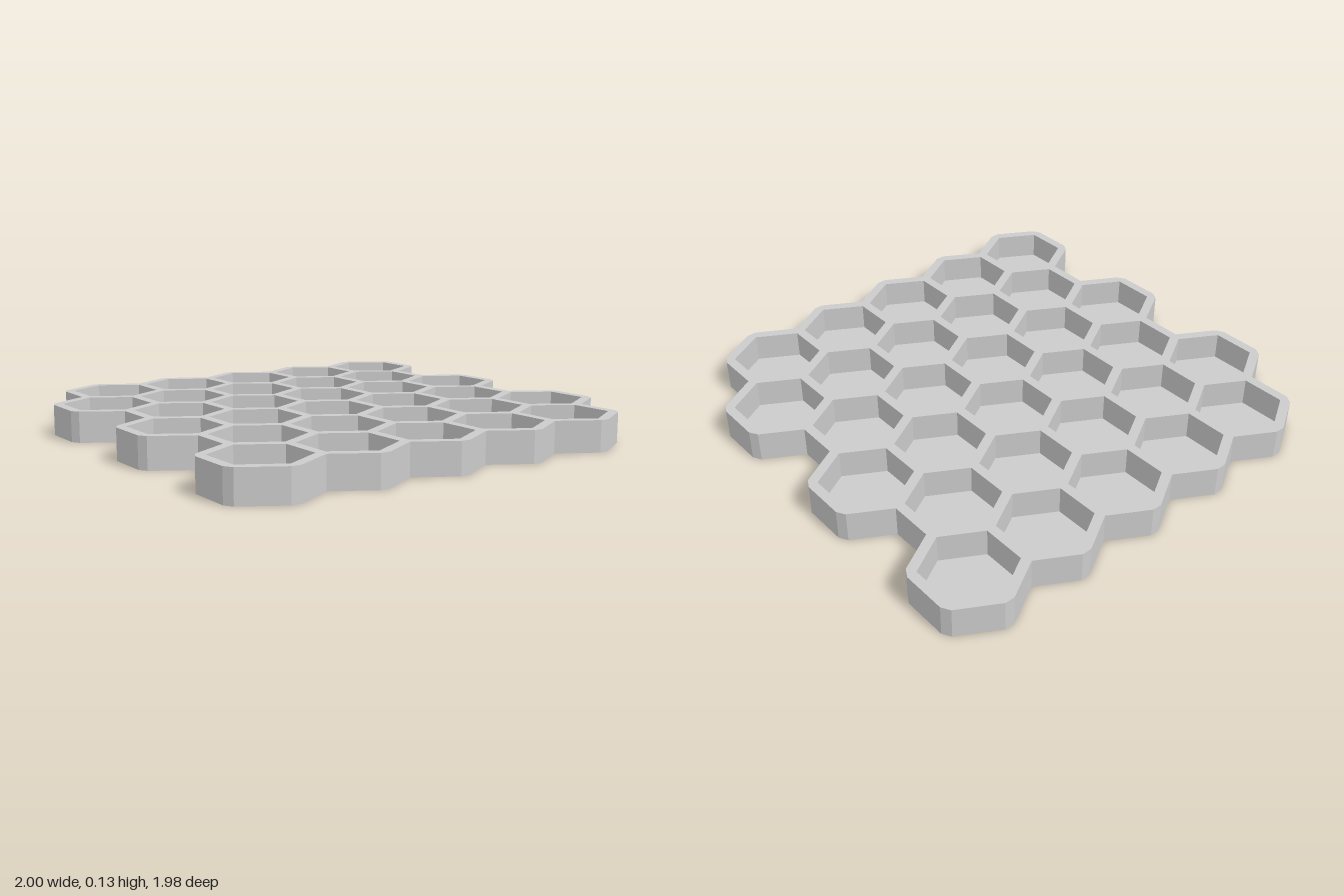
import * as THREE from 'three';

const ROWS = 6, COLS = 5;
const PITCH = 0.3564;               // distance between cell centres
const WALL = 0.04;
const RADIUS = (PITCH - WALL) / Math.sqrt(3); // cell opening, centre to corner
const HEIGHT = 0.128, FLOOR = 0.012;

// Centre of a cell in plan (x, z); alternate rows shift by half a cell
const centre = (row, col) => new THREE.Vector2(
  (col - (COLS - 1) / 2) * PITCH + (row % 2 ? -1 : 1) * PITCH / 4,
  (row - (ROWS - 1) / 2) * PITCH * Math.sqrt(3) / 2);

const polar = (c, r, deg) => {
  const a = THREE.MathUtils.degToRad(deg);
  return new THREE.Vector2(c.x + r * Math.cos(a), c.y + r * Math.sin(a));
};

// The two points of a chamfered outer corner, in order of increasing angle
const corner = (c, deg) => [-30, 30].map((d) => polar(polar(c, RADIUS, deg), WALL, deg + d));

// Back and right edges; the other half is the same turned by 180 degrees
function halfOutline() {
  const pts = [...corner(centre(0, 0), 210)];
  for (let col = 0; col < COLS; col++) {
    const c = centre(0, col);
    if (col > 0) {
      // notch where two neighbouring outer walls meet
      const tip = (RADIUS * Math.sqrt(3) / 2 + WALL) * 2 / Math.sqrt(3);
      pts.push(new THREE.Vector2(c.x - PITCH / 2, c.y - tip + PITCH / 2 / Math.sqrt(3)));
    }
    pts.push(...corner(c, 270));
  }
  for (let row = 0; row < ROWS; row += 2) {
    const c = centre(row, COLS - 1);
    if (row > 0) pts.push(corner(c, 270)[1]);
    pts.push(...corner(c, 330), ...corner(c, 30), corner(c, 90)[0]);
  }
  return pts;
}

// Upright slab from a plan shape, between two heights
function slab(name, shape, bottom, top, material) {
  const geo = new THREE.ExtrudeGeometry(shape, { depth: top - bottom, bevelEnabled: false });
  geo.rotateX(Math.PI / 2).translate(0, top, 0);
  const mesh = new THREE.Mesh(geo, material);
  mesh.name = name;
  return mesh;
}

export function createModel() {
  const group = new THREE.Group();
  group.name = 'honeycombTray';
  const material = new THREE.MeshStandardMaterial({ color: 0xcccccc });

  const half = halfOutline();
  const outline = [...half, ...half.map((p) => p.clone().negate())];

  // Solid base plate
  group.add(slab('floor', new THREE.Shape(outline), 0, FLOOR, material));

  // Lattice of walls with a hexagonal opening per cell
  const lattice = new THREE.Shape(outline);
  for (let row = 0; row < ROWS; row++) {
    for (let col = 0; col < COLS; col++) {
      const c = centre(row, col);
      lattice.holes.push(new THREE.Path(
        [0, 1, 2, 3, 4, 5].map((k) => polar(c, RADIUS, 30 - 60 * k))));
    }
  }
  group.add(slab('cellWalls', lattice, FLOOR, HEIGHT, material));
  return group;
}
